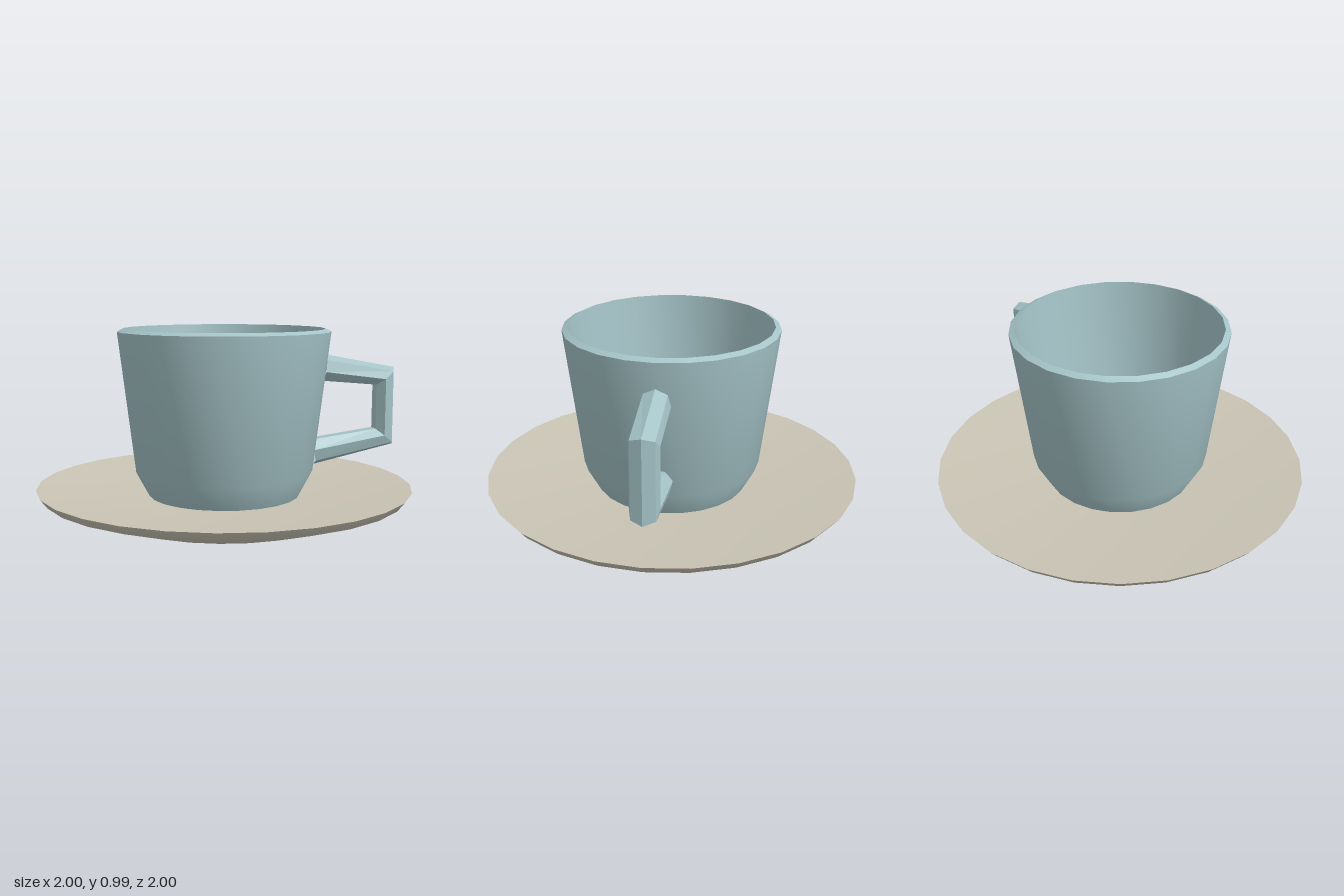
import * as THREE from 'three';
import { toCreasedNormals } from 'three/addons/utils/BufferGeometryUtils.js';

const material = (name, color, side = THREE.FrontSide) => {
  const m = new THREE.MeshStandardMaterial({ color, side });
  m.name = name;
  return m;
};

// Closed profile from bottom centre, up the outside and back down the inside
function lathe(profile, segments) {
  const points = profile.map(([x, y]) => new THREE.Vector2(x, y));
  return toCreasedNormals(new THREE.LatheGeometry(points, segments), 0.7);
}

// Faceted bar along a path in the xy plane, one ring per path point
function facetedBar(path, radius, sides) {
  const pts = path.map(([x, y]) => new THREE.Vector2(x, y));
  const dir = (a, b) => b.clone().sub(a).normalize();
  const positions = [], index = [];
  pts.forEach((p, i) => {
    const tangent = new THREE.Vector2();
    if (i > 0) tangent.add(dir(pts[i - 1], p));
    if (i < pts.length - 1) tangent.add(dir(p, pts[i + 1]));
    tangent.normalize();
    for (let j = 0; j < sides; j++) {
      const a = (j / sides) * Math.PI * 2;
      const out = radius * Math.cos(a);
      positions.push(p.x - tangent.y * out, p.y + tangent.x * out, radius * Math.sin(a));
      if (i === 0) continue;
      const k = (j + 1) % sides;
      const a0 = (i - 1) * sides + j, a1 = (i - 1) * sides + k;
      const b0 = i * sides + j, b1 = i * sides + k;
      index.push(a0, a1, b0, a1, b1, b0);
    }
  });
  const g = new THREE.BufferGeometry();
  g.setAttribute('position', new THREE.Float32BufferAttribute(positions, 3));
  g.setIndex(index);
  const flat = g.toNonIndexed();
  flat.computeVertexNormals();
  return flat;
}

export function createModel() {
  const group = new THREE.Group();
  const ceramic = material('blue ceramic', 0xa5c4c8, THREE.DoubleSide);
  const stoneware = material('beige stoneware', 0xc9c4b4);
  const brown = material('coffee brown', 0x4c2610);

  const add = (name, geometry, mat) => {
    const mesh = new THREE.Mesh(geometry, mat);
    mesh.name = name;
    group.add(mesh);
    return mesh;
  };

  // Shallow dish with a flat foot
  add('saucer', lathe([
    [0, 0], [0.635, 0], [0.965, 0.11], [1, 0.155], [0.4, 0.1], [0, 0.1],
  ], 28), stoneware);

  // Tapered cup with bevelled foot, sloped rim and hollow inside
  add('cup', lathe([
    [0, 0.09], [0.4, 0.09], [0.475, 0.23], [0.565, 0.975],
    [0.535, 0.99], [0.455, 0.27], [0, 0.245],
  ], 24), ceramic);

  // Seven-sided angular handle on the cup's left
  add('handle', facetedBar([
    [0.488, 0.314], [0.897, 0.388], [0.897, 0.72], [0.548, 0.77],
  ].reverse(), 0.075, 7), ceramic);

  // Last drop of coffee on the cup floor
  const coffee = add('coffee', new THREE.CircleGeometry(0.17, 48), brown);
  coffee.rotation.x = -Math.PI / 2;
  coffee.position.y = 0.257;

  return group;
}
